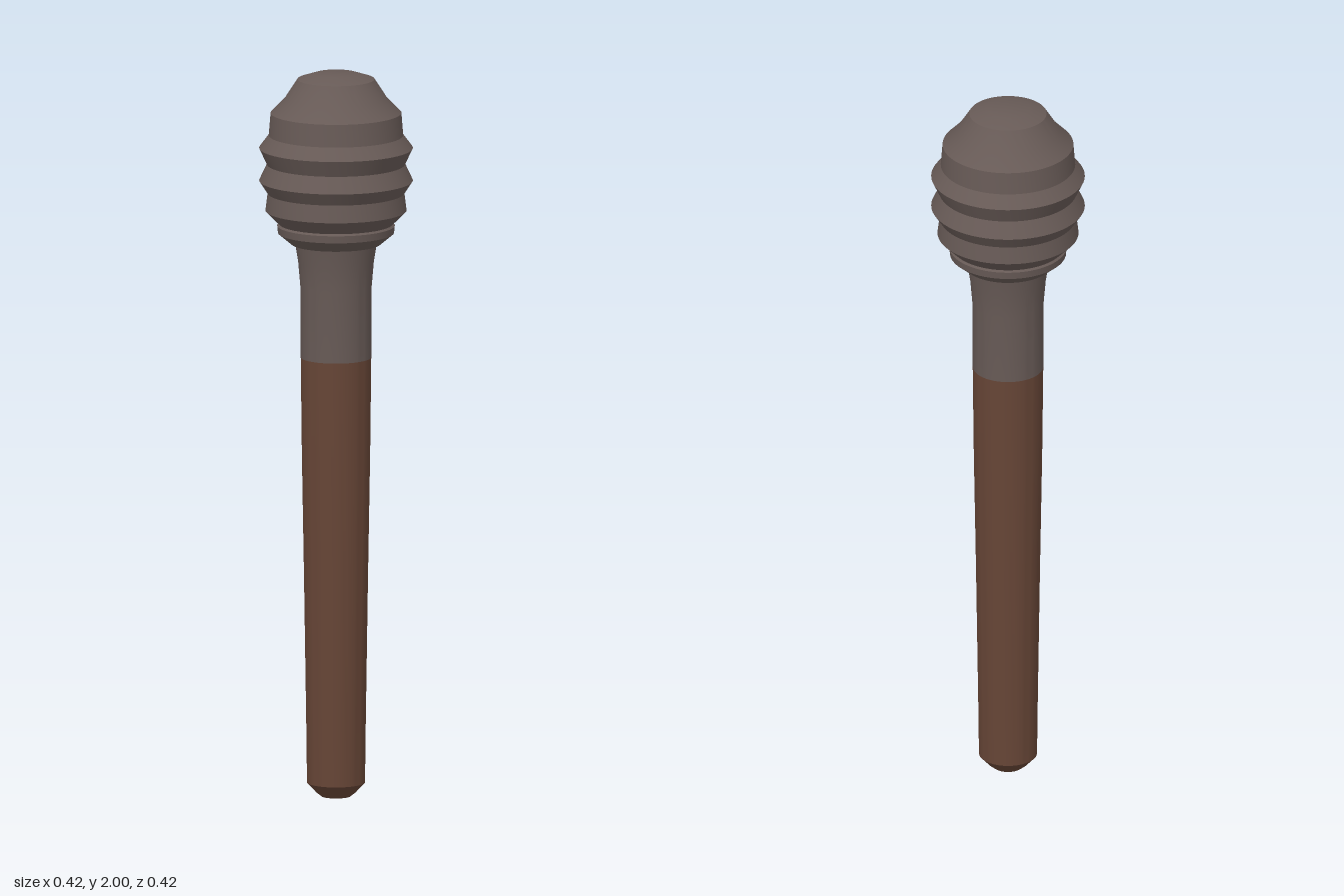
import * as THREE from 'three';
import { toCreasedNormals } from 'three/addons/utils/BufferGeometryUtils.js';

export function createModel() {
  const wood = new THREE.MeshStandardMaterial({ color: 0x664536 });
  wood.name = 'brown wood';
  const metal = new THREE.MeshStandardMaterial({ color: 0x675a56 });
  metal.name = 'grey brown metal';

  const group = new THREE.Group();
  group.name = 'club';

  // Turned part from [radius, height] pairs, listed bottom to top
  function turned(name, profile, material) {
    const points = profile.map(([r, y]) => new THREE.Vector2(r, y));
    const geometry = toCreasedNormals(new THREE.LatheGeometry(points, 64), 0.45);
    const mesh = new THREE.Mesh(geometry, material);
    mesh.name = name;
    group.add(mesh);
  }

  // Tapered grip with a bevelled butt
  turned('handle', [
    [0, 0], [0.04, 0], [0.055, 0.012], [0.079, 0.038], [0.081, 0.2],
    [0.087, 0.6], [0.093, 0.95], [0.096, 1.215],
  ], wood);

  // Collar flaring up into the head
  turned('neck', [
    [0.096, 1.215], [0.097, 1.41], [0.103, 1.48], [0.111, 1.53],
  ], metal);

  // Ribbed head with a domed cap
  turned('head', [
    [0.111, 1.53], [0.122, 1.53], [0.158, 1.56], [0.16, 1.58],
    [0.155, 1.585], [0.192, 1.622], [0.186, 1.67], [0.209, 1.705],
    [0.188, 1.75], [0.209, 1.795], [0.183, 1.83], [0.178, 1.892],
    [0.139, 1.932], [0.105, 1.985], [0.06, 2], [0, 2],
  ], metal);

  return group;
}
